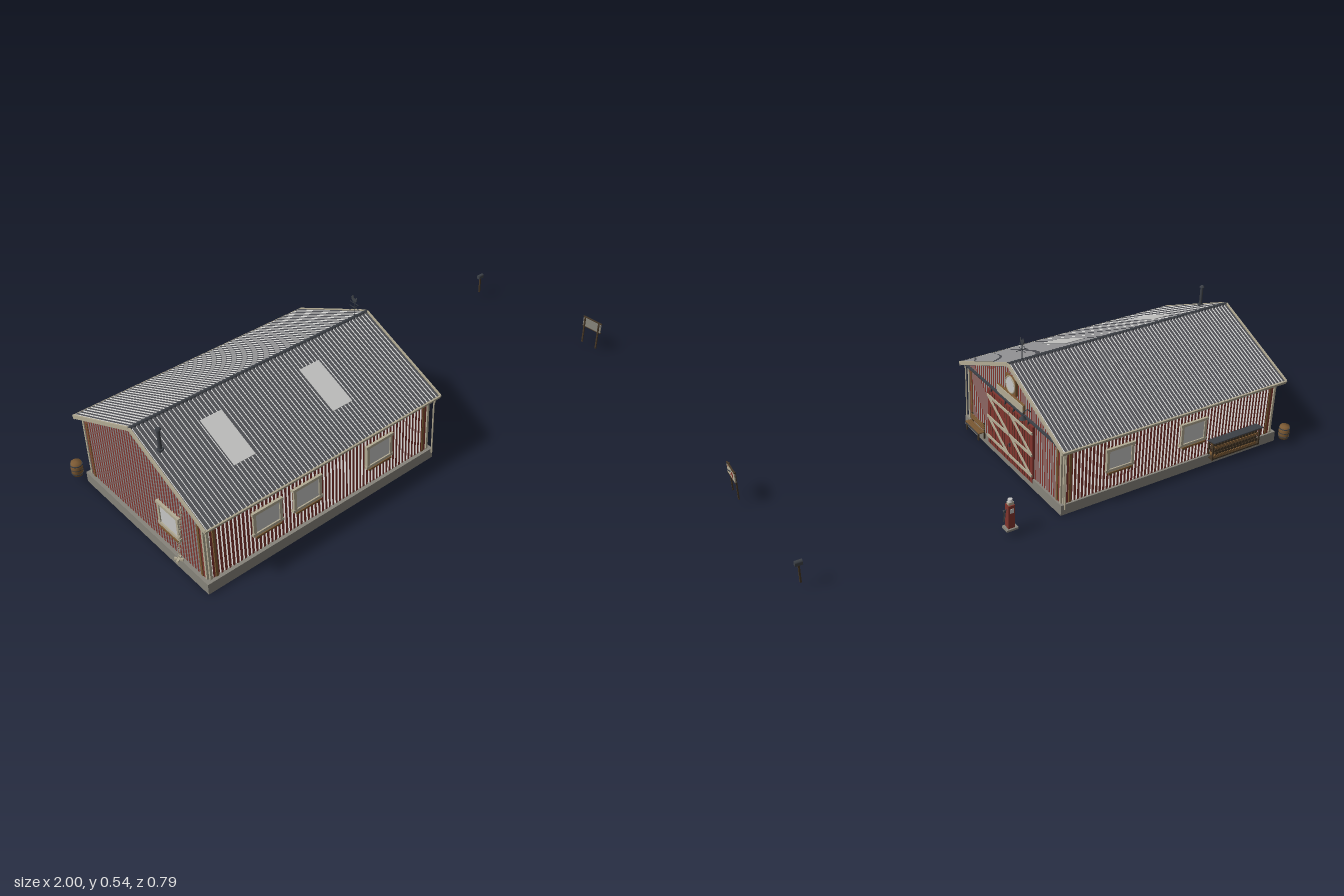
import * as THREE from 'three';

const mat = (name, color, side = THREE.FrontSide) => {
  const m = new THREE.MeshStandardMaterial({ color, side });
  m.name = name;
  return m;
};

export function createModel() {
  const red = mat('barnRed', 0x80342d), roofGrey = mat('roofGrey', 0x505156), stone = mat('concrete', 0x86837a);
  const trim = mat('trimBeige', 0xb3ab94), pale = mat('paleGrey', 0xc6c6c4, THREE.DoubleSide), edge = mat('ribEdge', 0xdededc);
  const metal = mat('darkMetal', 0x3c4046), wood = mat('wood', 0x7c5a34), darkWood = mat('darkWood', 0x443626);
  const root = new THREE.Group();
  root.name = 'barnYard';

  const add = (parent, name, geo, material, x = 0, y = 0, z = 0) => {
    const m = new THREE.Mesh(geo, material);
    m.name = name;
    m.position.set(x, y, z);
    parent.add(m);
    return m;
  };
  const group = (parent, name, x = 0, y = 0, z = 0, ry = 0) => {
    const g = new THREE.Group();
    g.name = name;
    g.position.set(x, y, z);
    g.rotation.y = ry;
    parent.add(g);
    return g;
  };
  const box = (p, name, m, w, h, d, x, y, z) => add(p, name, new THREE.BoxGeometry(w, h, d), m, x, y, z);
  const cyl = (p, name, m, r, h, x, y, z, r2 = r, n = 12) => add(p, name, new THREE.CylinderGeometry(r2, r, h, n), m, x, y, z);
  // flat bar in an upright plane, from (x1, y1) to (x2, y2)
  const bar = (p, name, m, x1, y1, x2, y2, t, d, z) => {
    const b = box(p, name, m, Math.hypot(x2 - x1, y2 - y1), t, d, (x1 + x2) / 2, (y1 + y2) / 2, z);
    b.rotation.z = Math.atan2(y2 - y1, x2 - x1);
    return b;
  };
  const tube = (p, name, m, r, pts) => add(p, name, new THREE.TubeGeometry(
    new THREE.CatmullRomCurve3(pts.map(a => new THREE.Vector3(...a)), false, 'catmullrom', 0.2), 24, r, 8), m);
  // rib with sloping pale flanks, narrowing towards its outer face (+y or +z)
  const rib = (p, name, m, w, h, d, x, y, z, axis) => {
    const geo = new THREE.BoxGeometry(w, h, d), pos = geo.attributes.position;
    for (let i = 0; i < pos.count; i++) if (pos.getComponent(i, axis) > 0) pos.setX(i, pos.getX(i) * 0.78);
    geo.computeVertexNormals();
    add(p, name, geo, [edge, edge, m, m, m, m], x, y, z);
  };

  // Main dimensions
  const X0 = -0.94, X1 = 0.015, Z0 = -0.33, Z1 = 0.355, RZ = 0.013, CX = -0.46, SLOPE = 0.451;
  const roofY = z => 0.436 - Math.abs(z - RZ) * SLOPE;
  const barn = group(root, 'barn');

  // Foundation and wall body
  box(barn, 'foundation', stone, 0.99, 0.042, 0.72, -0.465, 0.021, 0.015);
  const profile = new THREE.Shape([[-Z1, 0.042], [-Z0, 0.042], [-Z0, roofY(Z0)], [-RZ, roofY(RZ)], [-Z1, roofY(Z1)]]
    .map(a => new THREE.Vector2(...a)));
  const bodyGeo = new THREE.ExtrudeGeometry(profile, { depth: X1 - X0, bevelEnabled: false });
  bodyGeo.rotateY(Math.PI / 2);
  add(barn, 'walls', bodyGeo, red, X0, 0, 0);

  // Wall groups: local x runs along the wall, local z points outward
  const front = group(barn, 'frontWall', 0, 0, Z1);
  const back = group(barn, 'backWall', 0, 0, Z0, Math.PI);
  const right = group(barn, 'doorGable', X1, 0, 0, Math.PI / 2);
  const left = group(barn, 'rearGable', X0, 0, 0, -Math.PI / 2);

  // Upright ribs of the wall cladding, with corner boards
  const cladding = (wall, a, b, top) => {
    const n = Math.round((b - a) / 0.0155);
    for (let i = 1; i < n; i++) {
      const x = a + (b - a) * i / n, h = top(x) - 0.042;
      rib(wall, 'wallRib', red, 0.0105, h, 0.007, x, 0.042 + h / 2, 0.0032, 2);
    }
    for (const [x, s] of [[a, 1], [b, -1]]) {
      box(wall, 'cornerTrim', trim, 0.009, top(x) - 0.042, 0.014, x + s * 0.003, (top(x) + 0.042) / 2, 0.002);
      box(wall, 'cornerPost', wood, 0.009, top(x) - 0.042, 0.01, x + s * 0.026, (top(x) + 0.042) / 2, 0.004);
    }
  };
  cladding(front, X0, X1, () => roofY(Z1));
  cladding(back, -X1, -X0, () => roofY(Z0));
  cladding(right, -Z1, -Z0, x => roofY(-x) - 0.003);
  cladding(left, Z0, Z1, x => roofY(x) - 0.003);

  // Windows with frame, sill and brackets
  const windowAt = (wall, x) => {
    const g = group(wall, 'window', x, 0.166, 0.008), w = 0.116, h = 0.092;
    box(g, 'pane', pale, w - 0.01, h - 0.01, 0.006, 0, 0, 0);
    for (const s of [-1, 1]) {
      box(g, 'frameSide', trim, 0.011, h, 0.014, s * (w / 2 - 0.005), 0, 0);
      box(g, 'frameRail', trim, w + 0.008, 0.011, 0.016, 0, s * (h / 2 - 0.003), 0);
      box(g, 'bracket', darkWood, 0.008, 0.014, 0.012, s * w * 0.36, -h / 2 - 0.012, 0);
    }
    box(g, 'sill', wood, w * 0.9, 0.007, 0.018, 0, -h / 2 - 0.006, 0.002);
  };
  for (const x of [-0.71, -0.545, -0.225]) windowAt(front, x);
  for (const x of [0.22, 0.55]) windowAt(back, x);
  windowAt(left, 0.17);

  // Roof: two ribbed slopes with trim
  for (const [name, ry, run] of [['frontRoof', 0, 0.376], ['backRoof', Math.PI, 0.378]]) {
    const s = group(group(barn, name, CX, 0.447, RZ, ry), 'slope');
    s.rotation.x = Math.atan(SLOPE);
    const L = run * Math.hypot(1, SLOPE);
    box(s, 'roofSheet', roofGrey, 1, 0.01, L, 0, -0.004, L / 2);
    for (let i = 0; i < 66; i++) rib(s, 'roofRib', roofGrey, 0.0105, 0.006, L - 0.002, -0.488 + i * 0.976 / 65, 0.0025, L / 2, 1);
    for (const e of [-1, 1]) box(s, 'rakeTrim', trim, 0.006, 0.014, L, e * 0.5, 0, L / 2);
    box(s, 'eaveTrim', trim, 1.004, 0.015, 0.006, 0, -0.002, L + 0.001);
    if (!ry) for (const x of [-0.25, 0.16]) box(s, 'skylight', pale, 0.085, 0.006, 0.188, x, 0.0035, 0.18);
  }
  const ridge = cyl(barn, 'ridgeCap', metal, 0.007, 1.0, CX, 0.448, RZ, 0.007, 8);
  ridge.rotation.z = Math.PI / 2;

  // Downspouts
  tube(barn, 'downspout', trim, 0.003, [[0.02, 0.278, 0.388], [0.02, 0.262, 0.386], [0.02, 0.24, 0.381], [0.02, 0.03, 0.381]]);
  tube(barn, 'downspout', trim, 0.003, [[0.02, 0.278, -0.362], [0.02, 0.262, -0.36], [0.02, 0.24, -0.355], [0.02, 0.03, -0.355]]);

  // Sliding doors with cross braces and track
  for (const [a, b] of [[-0.181, -0.015], [-0.012, 0.151]]) {
    const d = group(right, 'slidingDoor', 0, 0, 0.012);
    box(d, 'doorLeaf', red, b - a, 0.24, 0.01, (a + b) / 2, 0.145, 0);
    for (let i = 1; i < 9; i++) box(d, 'boardGap', darkWood, 0.0015, 0.236, 0.002, a + (b - a) * i / 9, 0.145, 0.0048);
    for (const y of [0.238, 0.146, 0.057]) box(d, 'doorRail', trim, b - a, 0.01, 0.006, (a + b) / 2, y, 0.007);
    for (const y of [0.234, 0.142]) bar(d, 'doorBrace', trim, a + 0.012, y, b - 0.007, y - 0.086, 0.01, 0.005, 0.007);
    for (const x of [a + 0.03, b - 0.03]) box(d, 'doorHanger', metal, 0.004, 0.02, 0.006, x, 0.272, 0.004);
  }
  box(right, 'doorHandle', metal, 0.004, 0.016, 0.006, -0.009, 0.105, 0.02);
  box(right, 'doorTrack', metal, 0.69, 0.006, 0.01, -0.013, 0.28, 0.014);
  box(right, 'trackStop', metal, 0.025, 0.01, 0.014, 0.315, 0.28, 0.014);

  // Blank board, round window and lamp above the doors
  box(right, 'boardFrame', wood, 0.192, 0.034, 0.008, -0.014, 0.302, 0.01);
  box(right, 'blankBoard', trim, 0.187, 0.029, 0.008, -0.014, 0.302, 0.013);
  box(right, 'roundWindowPanel', wood, 0.075, 0.066, 0.01, -0.013, 0.36, 0.008);
  add(right, 'roundWindowRing', new THREE.TorusGeometry(0.032, 0.003, 6, 32), trim, -0.013, 0.36, 0.014);
  add(right, 'roundPane', new THREE.CircleGeometry(0.031, 32), pale, -0.013, 0.36, 0.0145);
  tube(right, 'lampArm', metal, 0.0018, [[0.12, 0.31, 0.005], [0.12, 0.325, 0.02], [0.12, 0.32, 0.037], [0.12, 0.305, 0.04]]);
  cyl(right, 'lampShade', metal, 0.014, 0.014, 0.12, 0.299, 0.04, 0.004, 16);

  // Chain hanging at the rear gable, with a small cross-shaped weight
  for (let i = 0; i < 22; i++) {
    const t = i / 21, link = add(root, 'chainLink', new THREE.TorusGeometry(0.0045, 0.0012, 5, 10), trim,
      -0.978 + t * 0.028, 0.08 + t * 0.195, 0.25);
    link.rotation.y = i % 2 ? 0.8 : -0.8;
  }
  for (const a of [0.6, 0.6 + Math.PI / 2]) box(root, 'chainWeight', trim, 0.03, 0.008, 0.007, -0.978, 0.074, 0.25).rotation.y = a;

  // Stove pipe
  cyl(barn, 'stovePipe', metal, 0.006, 0.09, -0.92, 0.443, 0.12);
  cyl(barn, 'pipeFlange', metal, 0.011, 0.006, -0.92, 0.41, 0.12);
  cyl(barn, 'pipeCap', metal, 0.01, 0.005, -0.92, 0.489, 0.12, 0.007);

  // Weathervane with a rooster outline
  const vane = group(right, 'weathervane', -0.013, 0.45, -0.035);
  cyl(vane, 'vanePole', metal, 0.0015, 0.068, 0, 0.034, 0, 0.0015, 8);
  cyl(vane, 'vaneFoot', metal, 0.005, 0.008, 0, 0.006, 0, 0.002, 8);
  for (const ry of [0, Math.PI / 2]) box(vane, 'crossArm', metal, 0.048, 0.0015, 0.0015, 0, 0.04, 0).rotation.y = ry;
  box(vane, 'arrowShaft', metal, 0.042, 0.0015, 0.0015, 0, 0.058, 0);
  const rooster = new THREE.Shape();
  rooster.moveTo(-0.004, 0.062);
  rooster.quadraticCurveTo(-0.015, 0.068, -0.014, 0.084);
  rooster.quadraticCurveTo(-0.008, 0.084, -0.006, 0.077);
  rooster.quadraticCurveTo(0.002, 0.074, 0.004, 0.085);
  rooster.quadraticCurveTo(0.007, 0.091, 0.011, 0.084);
  rooster.lineTo(0.015, 0.081);
  rooster.quadraticCurveTo(0.014, 0.066, 0.004, 0.062);
  add(vane, 'rooster', new THREE.ExtrudeGeometry(rooster, { depth: 0.002, bevelEnabled: false }), metal, 0, 0, -0.001);

  // Bench beside the doors
  const bench = group(right, 'bench', -0.255, 0.025, 0.034);
  for (let i = 0; i < 3; i++) {
    box(bench, 'seatSlat', wood, 0.112, 0.004, 0.007, 0, 0.034, -0.007 + i * 0.009);
    box(bench, 'backSlat', wood, 0.112, 0.005, 0.004, 0, 0.045 + i * 0.009, -0.011);
  }
  for (const x of [-0.047, 0.047]) {
    box(bench, 'backLeg', darkWood, 0.006, 0.07, 0.005, x, 0.035, -0.014);
    box(bench, 'frontLeg', darkWood, 0.006, 0.034, 0.005, x, 0.017, 0.012);
    box(bench, 'legRail', darkWood, 0.005, 0.004, 0.03, x, 0.03, 0);
  }
  box(bench, 'stretcher', metal, 0.1, 0.004, 0.004, 0, 0.028, 0.014);

  // Firewood rack on the back wall
  const rack = group(back, 'firewoodRack', 0.745, 0.025, 0.022);
  box(rack, 'rackBase', darkWood, 0.23, 0.006, 0.03, 0, 0.006, 0);
  box(rack, 'rackRoof', metal, 0.235, 0.004, 0.048, 0, 0.08, 0.003).rotation.x = -0.17;
  for (const x of [-0.112, 0.112]) for (const z of [-0.012, 0.013]) box(rack, 'rackPost', darkWood, 0.006, 0.076, 0.005, x, 0.039, z);
  for (let r = 0; r < 5; r++) for (let i = 0; i < 14; i++) {
    const log = cyl(rack, 'log', (i * 3 + r) % 3 ? darkWood : wood, 0.0072, 0.03, -0.1 + i * 0.0148 + (r % 2) * 0.006, 0.016 + r * 0.0128, 0, 0.0072, 7);
    log.rotation.x = Math.PI / 2;
  }

  // Rain barrel at the rear corner
  const barrel = group(root, 'rainBarrel', -0.978, 0.025, -0.375);
  add(barrel, 'staves', new THREE.LatheGeometry([[0, 0], [0.018, 0], [0.0212, 0.018], [0.0212, 0.036], [0.018, 0.055], [0, 0.055]]
    .map(a => new THREE.Vector2(...a)), 18), wood);
  for (const y of [0.01, 0.027, 0.045]) cyl(barrel, 'hoop', metal, 0.0218, 0.003, 0, y, 0, 0.0218, 18);

  // Fuel pump
  const pump = group(root, 'fuelPump', 0.237, 0.025, -0.346);
  box(pump, 'pumpBase', stone, 0.046, 0.008, 0.036, 0, 0.004, 0);
  box(pump, 'pumpBody', red, 0.026, 0.094, 0.024, 0, 0.055, 0);
  box(pump, 'pumpHead', trim, 0.02, 0.012, 0.016, 0, 0.107, 0);
  cyl(pump, 'pumpGlobe', pale, 0.01, 0.012, 0, 0.119, 0, 0.008, 16);
  for (const s of [-1, 1]) box(pump, 'pumpDial', pale, 0.016, 0.018, 0.003, 0, 0.08, s * 0.0115);
  tube(pump, 'pumpHose', metal, 0.002, [[0.013, 0.085, 0], [0.025, 0.075, 0.003], [0.022, 0.03, 0.006], [0.016, 0.05, 0.009], [0.015, 0.07, 0.008]]);
  bar(pump, 'pumpNozzle', metal, 0.012, 0.068, 0.022, 0.078, 0.005, 0.005, 0.008);

  // Mailbox
  const mail = group(root, 'mailbox', 0.965, 0.025, -0.254);
  box(mail, 'mailPost', darkWood, 0.006, 0.072, 0.006, 0, 0.036, 0);
  box(mail, 'mailBody', metal, 0.027, 0.01, 0.015, 0, 0.077, 0);
  cyl(mail, 'mailLid', metal, 0.0075, 0.027, 0, 0.082, 0, 0.0075, 14).rotation.z = Math.PI / 2;

  // Roadside board with painted wheel and tool
  const board = group(root, 'roadsideBoard', 0.995, 0.025, 0.329, Math.PI / 2);
  for (const x of [-0.034, 0.034]) box(board, 'boardPost', darkWood, 0.006, 0.118, 0.005, x, 0.059, -0.003);
  box(board, 'boardBack', stone, 0.086, 0.042, 0.003, 0, 0.097, 0);
  for (const s of [-1, 1]) box(board, 'boardEdge', darkWood, 0.09, 0.003, 0.006, 0, 0.097 + s * 0.0215, 0.001);
  box(board, 'boardFace', trim, 0.086, 0.04, 0.003, 0, 0.097, 0.002);
  add(board, 'paintedWheel', new THREE.RingGeometry(0.007, 0.012, 20), red, 0.019, 0.097, 0.0042);
  for (let i = 0; i < 3; i++) box(board, 'paintedSpoke', red, 0.016, 0.003, 0.001, 0.019, 0.097, 0.0038).rotation.z = i * Math.PI / 3;
  bar(board, 'paintedTool', metal, -0.033, 0.089, 0.002, 0.103, 0.005, 0.001, 0.004);
  for (const [x, y] of [[-0.031, 0.107], [-0.006, 0.085]])
    add(board, 'paintedDot', new THREE.CircleGeometry(0.004, 12), red, x, y, 0.0042);

  return root;
}
